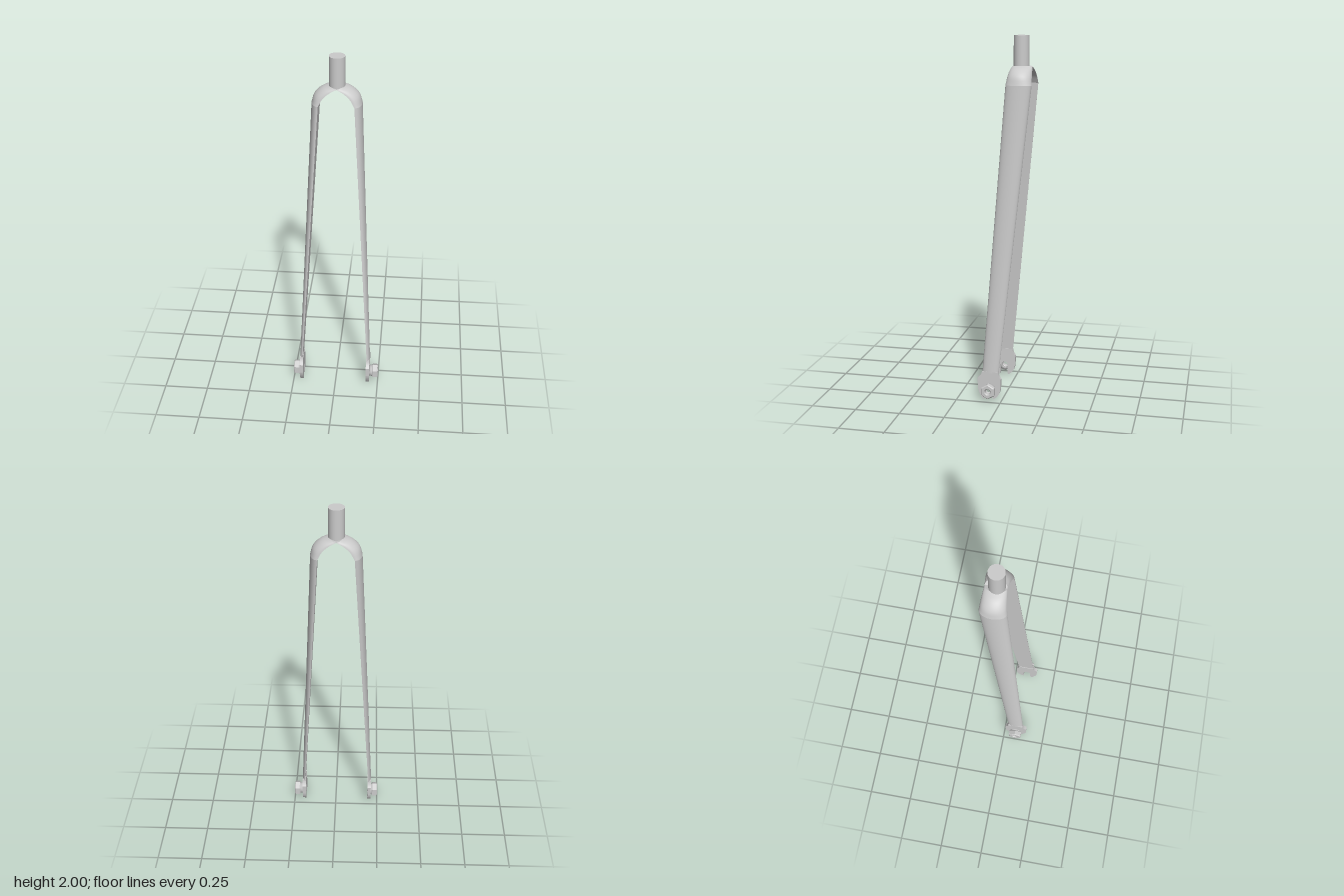
import * as THREE from 'three';
import { mergeGeometries } from 'three/addons/utils/BufferGeometryUtils.js';

const material = new THREE.MeshStandardMaterial({ color: 0xcccccc, side: THREE.DoubleSide });
const CX = -0.006; // fork centre line

function addMesh(parent, name, geometry) {
  const mesh = new THREE.Mesh(geometry, material);
  mesh.name = name;
  parent.add(mesh);
  return mesh;
}

// Smooth surface through rows of points; flip reverses the facing
function grid(rows, flip) {
  const n = rows[0].length, index = [];
  for (let i = 0; i < rows.length - 1; i++) {
    for (let j = 0; j < n - 1; j++) {
      const a = i * n + j, b = a + 1, c = a + n, d = c + 1;
      if (flip) index.push(a, c, b, b, c, d);
      else index.push(a, b, c, b, d, c);
    }
  }
  const g = new THREE.BufferGeometry();
  g.setAttribute('position', new THREE.Float32BufferAttribute(rows.flat(2), 3));
  g.setIndex(index);
  g.computeVertexNormals();
  return g;
}

// D-shaped bar: flat inner face, rounded outer face.
// Station: [outer r, outer y, inner r, inner y, front z, back z]
function dBar(stations, side) {
  const N = 20, outer = [], inner = [];
  for (const [or, oy, ir, iy, zf, zb] of stations) {
    const rowO = [], rowI = [];
    for (let j = 0; j <= N; j++) {
      const a = (j / N) * Math.PI;
      const z = (zf + zb) / 2 + ((zf - zb) / 2) * Math.cos(a);
      const k = Math.sin(a);
      rowO.push([CX + side * (ir + (or - ir) * k), iy + (oy - iy) * k, z]);
      rowI.push([CX + side * ir, iy, z]);
    }
    outer.push(rowO);
    inner.push(rowI);
  }
  const last = stations.length - 1, flip = side < 0;
  return mergeGeometries([
    grid(outer, flip),
    grid(inner, !flip),
    grid([inner[0], outer[0]], flip),
    grid([outer[last], inner[last]], flip),
  ]);
}

// Shoulder curve from the leg top to the centre line
function crownStations() {
  const curve = (pts) => new THREE.CatmullRomCurve3(pts.map(([x, y]) => new THREE.Vector3(x, y, 0)));
  const o = curve([[0.134, 1.74], [0.119, 1.788], [0.082, 1.823], [0.035, 1.84]]);
  const i = curve([[0.095, 1.74], [0.071, 1.782], [0.036, 1.813], [0, 1.832]]);
  const out = [];
  for (let k = 0; k <= 12; k++) {
    const t = k / 12, p = o.getPoint(t), q = i.getPoint(t);
    out.push([p.x, p.y, q.x, q.y, 0.003 - 0.017 * t, -0.139 + 0.013 * t]);
  }
  return out;
}

// Slotted end plate, drawn with x = -z
function dropoutGeometry() {
  const s = new THREE.Shape();
  s.moveTo(-0.114, 0.162);
  s.lineTo(-0.024, 0.162);
  s.quadraticCurveTo(-0.022, 0.14, -0.007, 0.122);
  s.lineTo(-0.009, 0.065);
  s.quadraticCurveTo(-0.014, 0.025, -0.045, 0.006);
  s.quadraticCurveTo(-0.056, 0.004, -0.055, 0.016);
  s.lineTo(-0.052, 0.06);
  s.absarc(-0.074, 0.06, 0.022, 0, Math.PI, false);
  s.lineTo(-0.096, 0.016);
  s.quadraticCurveTo(-0.1, 0, -0.11, 0.003);
  s.quadraticCurveTo(-0.135, 0.04, -0.138, 0.07);
  s.lineTo(-0.139, 0.125);
  s.quadraticCurveTo(-0.118, 0.14, -0.114, 0.162);
  const g = new THREE.ExtrudeGeometry(s, { depth: 0.02, bevelEnabled: false, curveSegments: 10 });
  return g.rotateY(Math.PI / 2);
}

// Chamfered hex nut with a through hole, its axis along x
function nutGeometry() {
  const s = new THREE.Shape();
  for (let k = 0; k < 6; k++) {
    const a = Math.PI / 2 + (k * Math.PI) / 3;
    s[k ? 'lineTo' : 'moveTo'](Math.cos(a) * 0.038, Math.sin(a) * 0.038);
  }
  s.closePath();
  s.holes.push(new THREE.Path().absarc(0, 0, 0.019, 0, Math.PI * 2, true));
  const g = new THREE.ExtrudeGeometry(s, {
    depth: 0.023, bevelThickness: 0.005, bevelSize: 0.004, bevelSegments: 1, curveSegments: 10,
  });
  return g.translate(0, 0, 0.005).rotateY(Math.PI / 2);
}

// Round collar behind the nut
function collarGeometry() {
  const pts = [[0.019, 0], [0.033, 0], [0.033, 0.02], [0.019, 0.02], [0.019, 0]];
  const g = new THREE.LatheGeometry(pts.map(([x, y]) => new THREE.Vector2(x, y)), 28);
  return g.rotateZ(-Math.PI / 2);
}

export function createModel() {
  const fork = new THREE.Group();
  fork.name = 'fork';

  const steerer = addMesh(fork, 'steererTube', new THREE.CylinderGeometry(0.0425, 0.0425, 0.17, 40));
  steerer.position.set(CX, 1.915, -0.065);

  const leg = [
    [0.207, 0.155, 0.19, 0.155, 0.115, 0.022],
    [0.134, 1.74, 0.095, 1.74, 0.003, -0.139],
  ];
  for (const side of [1, -1]) {
    const label = side > 0 ? 'left' : 'right';
    addMesh(fork, label + 'Leg', dBar(leg, side));
    addMesh(fork, label + 'Crown', dBar(crownStations(), side));

    const plate = addMesh(fork, label + 'Dropout', dropoutGeometry());
    plate.position.x = CX + side * 0.196 - 0.01;

    // Axle nut and collar, turned to face outwards
    const axle = new THREE.Group();
    axle.name = label + 'AxleNut';
    addMesh(axle, 'collar', collarGeometry());
    addMesh(axle, 'hexNut', nutGeometry()).position.x = 0.017;
    axle.position.set(side > 0 ? 0.199 : -0.2, 0.061, 0.072);
    if (side < 0) axle.rotation.y = Math.PI;
    fork.add(axle);
  }
  return fork;
}
